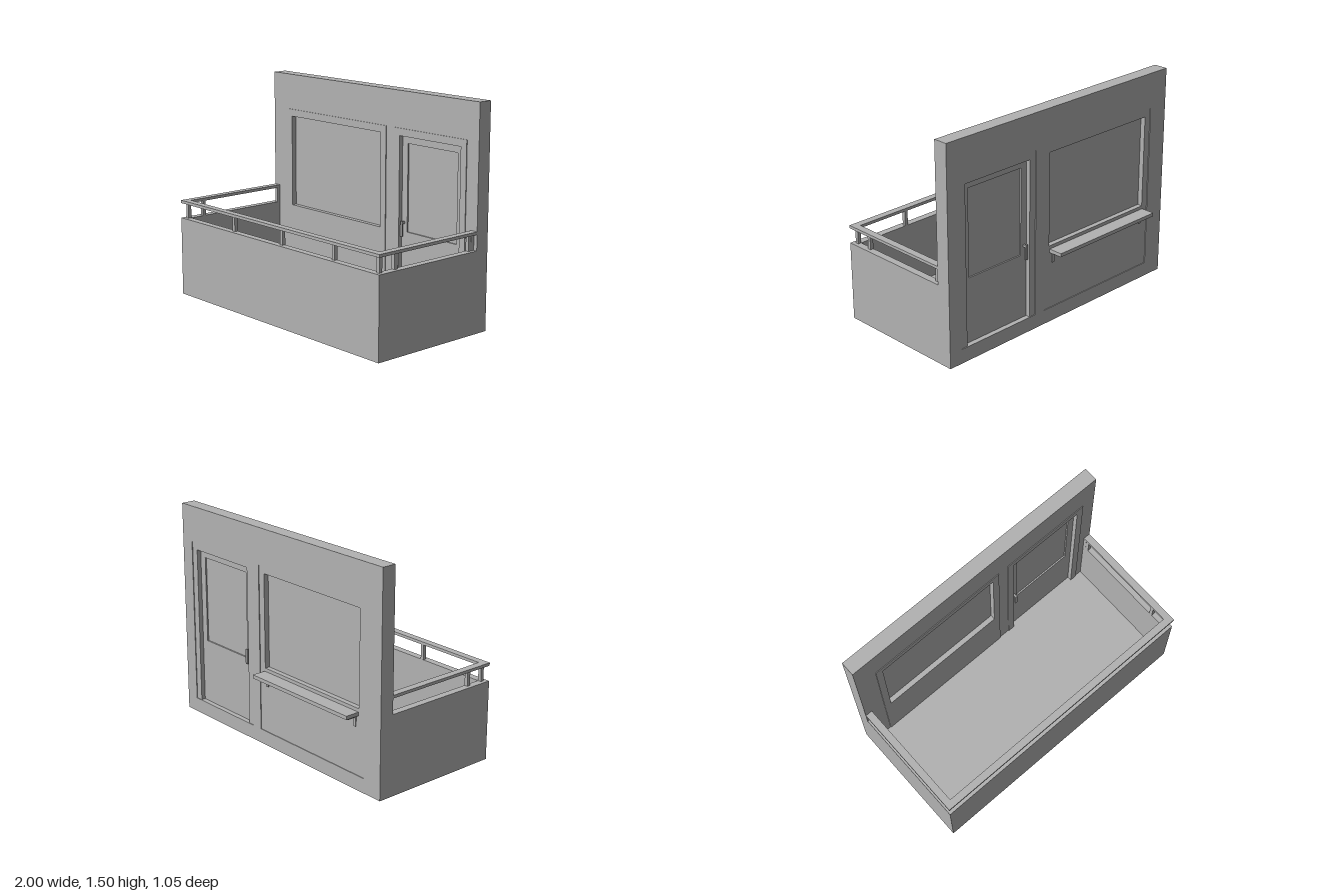
import * as THREE from 'three';

const grey = new THREE.MeshStandardMaterial({ color: 0xb2b2b2 });
grey.name = 'plain grey';

export function createModel() {
  const model = new THREE.Group();
  model.name = 'balcony';

  function add(name, geometry) {
    const mesh = new THREE.Mesh(geometry, grey);
    mesh.name = name;
    model.add(mesh);
    return mesh;
  }

  // Box given by its limits on each axis
  function box(name, x0, x1, y0, y1, z0, z1) {
    const mesh = add(name, new THREE.BoxGeometry(x1 - x0, y1 - y0, z1 - z0));
    mesh.position.set((x0 + x1) / 2, (y0 + y1) / 2, (z0 + z1) / 2);
  }

  const corners = ([x0, x1, y0, y1]) =>
    [[x0, y0], [x1, y0], [x1, y1], [x0, y1]].map(([x, y]) => new THREE.Vector2(x, y));

  // Upright slab with rectangular openings; rectangles are [x0, x1, y0, y1]
  function slab(name, outer, holes, z0, z1) {
    const shape = new THREE.Shape(corners(outer));
    for (const hole of holes) shape.holes.push(new THREE.Path(corners(hole)));
    const geometry = new THREE.ExtrudeGeometry(shape, { depth: z1 - z0, bevelEnabled: false });
    geometry.translate(0, 0, z0);
    add(name, geometry);
  }

  // House wall with the openings for the window and door units
  const back = -0.425, face = -0.325, front = 0.525;
  const windowUnit = [-0.85, 0.17, 0.1, 1.25];
  const doorUnit = [0.25, 0.9, 0.1, 1.25];
  slab('wall', [-1, 1, 0, 1.5], [windowUnit, doorUnit], back, face);

  // Window: frame set slightly forward of the wall, pane in the middle
  const frameBack = back + 0.005, frameFront = face + 0.005;
  slab('windowFrame', windowUnit, [[-0.8, 0.12, 0.55, 1.2]], frameBack, frameFront);
  box('windowPane', -0.8, 0.12, 0.55, 1.2, -0.385, -0.355);

  // Door: jambs, head, leaf and its pane
  box('doorJamb', 0.25, 0.3, 0.1, 1.25, frameBack, frameFront);
  box('doorJamb', 0.85, 0.9, 0.1, 1.25, frameBack, frameFront);
  box('doorHead', 0.3, 0.85, 1.2, 1.25, frameBack, frameFront);
  slab('doorLeaf', [0.3, 0.85, 0.1, 1.2], [[0.35, 0.8, 0.55, 1.15]], -0.39, -0.35);
  box('doorPane', 0.35, 0.8, 0.55, 1.15, -0.38, -0.36);

  // Door handle on both faces of the leaf
  for (const [z, s] of [[-0.35, 1], [-0.39, -1]]) {
    const span = (a, b) => [z + s * a, z + s * b].sort((p, q) => p - q);
    box('handleStem', 0.316, 0.33, 0.605, 0.62, ...span(0, 0.02));
    box('handleGrip', 0.315, 0.331, 0.52, 0.625, ...span(0.018, 0.03));
  }

  // Window sill with two brackets on the back
  box('sill', -0.8, 0.12, 0.505, 0.53, -0.525, back);
  for (const x of [-0.78, 0.08]) {
    box('bracketArm', x, x + 0.02, 0.49, 0.505, -0.495, back);
    box('bracketPlate', x, x + 0.02, 0.43, 0.505, -0.433, back);
  }

  // Floor and parapet
  box('floor', -0.95, 0.95, 0, 0.1, face, 0.475);
  box('frontParapet', -1, 1, 0, 0.55, 0.475, front);
  box('frontRail', -1, 1, 0.655, 0.675, 0.475, front);
  for (const s of [-1, 1]) {
    const x = s < 0 ? -1 : 0.95;
    box('sideParapet', x, x + 0.05, 0, 0.55, face, 0.475);
    box('sideRail', x, x + 0.05, 0.655, 0.675, face, 0.475);
  }

  // Rail posts
  function post(x, z) {
    box('railPost', x - 0.012, x + 0.012, 0.55, 0.655, z - 0.012, z + 0.012);
  }
  for (const x of [-0.962, -0.438, 0.06, 0.562, 0.962]) post(x, 0.487);
  for (const x of [-0.962, 0.962]) {
    post(x, 0.362);
    post(x, -0.313);
  }
  post(0.962, -0.288);

  return model;
}
